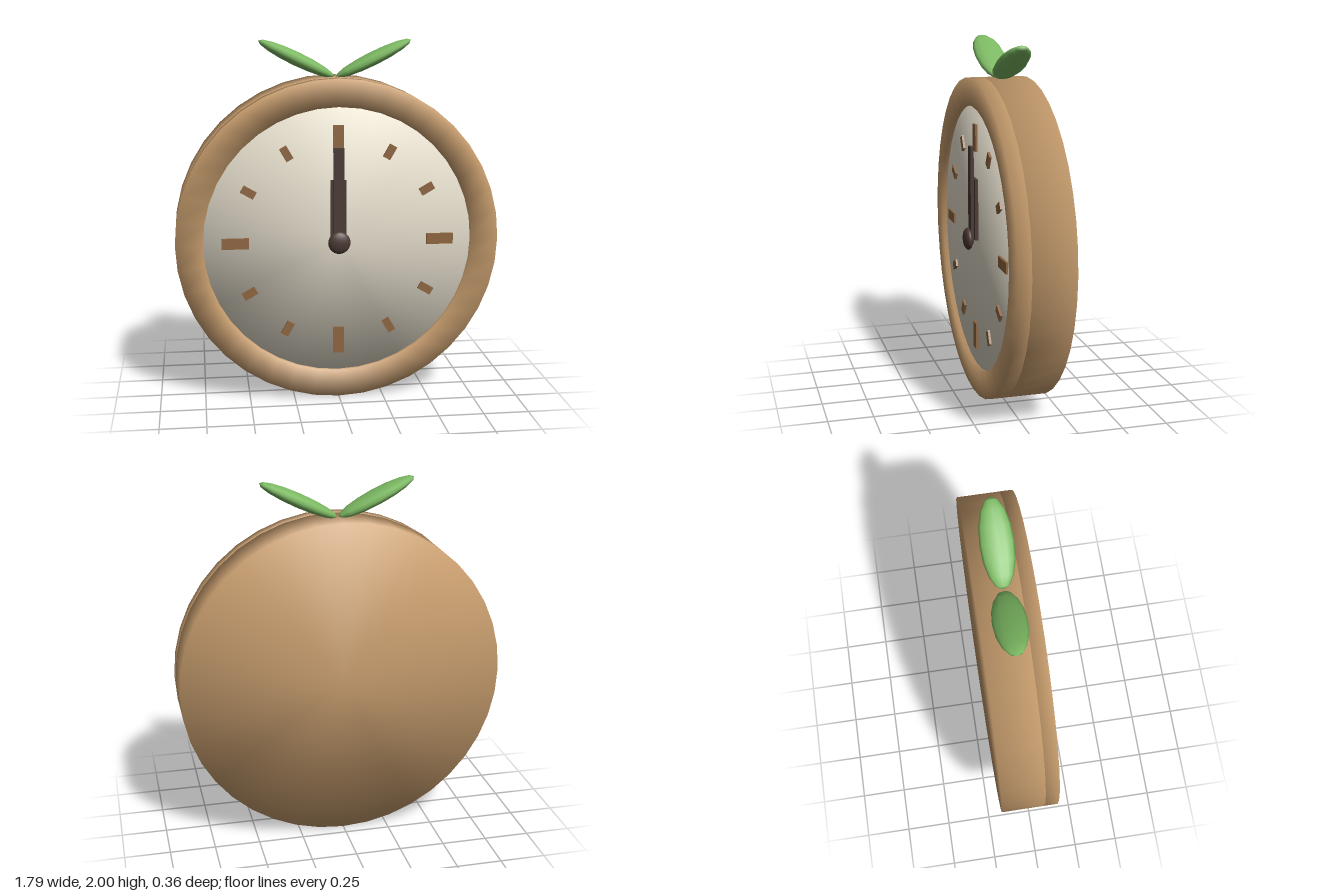
import * as THREE from 'three';

const wood = new THREE.MeshStandardMaterial({ name: 'lightWood', color: 0xc69c6d });
const dial = new THREE.MeshStandardMaterial({ name: 'creamDial', color: 0xe3dccb });
const marker = new THREE.MeshStandardMaterial({ name: 'brownMarker', color: 0x8f6641 });
const dark = new THREE.MeshStandardMaterial({ name: 'darkBrown', color: 0x4a3933 });
const leafGreen = new THREE.MeshStandardMaterial({ name: 'leafGreen', color: 0x7cb962 });

// Round part facing +z; each profile point is [radius, z, radial normal, axial normal]
function turned(profile, segments = 40) {
  const points = profile.map(([r, z]) => new THREE.Vector2(r, z));
  const geo = new THREE.LatheGeometry(points, segments);
  const normal = geo.attributes.normal;
  const v = new THREE.Vector3();
  for (let i = 0; i < normal.count; i++) {
    const [, , nr, nz] = profile[i % profile.length];
    const a = Math.floor(i / profile.length) / segments * Math.PI * 2;
    v.set(Math.sin(a) * nr, nz, Math.cos(a) * nr).normalize();
    normal.setXYZ(i, v.x, v.y, v.z);
  }
  return geo.rotateX(Math.PI / 2);
}

export function createModel() {
  const model = new THREE.Group();
  model.name = 'clock';
  const clock = new THREE.Group();
  clock.name = 'clockBody';
  clock.position.y = 0.9;
  model.add(clock);

  function add(parent, name, geo, mat, x = 0, y = 0, z = 0) {
    const mesh = new THREE.Mesh(geo, mat);
    mesh.name = name;
    mesh.position.set(x, y, z);
    parent.add(mesh);
    return mesh;
  }

  // Case, front rim and dial, with soft shading over square edges
  const R = 0.897, inner = 0.745;
  add(clock, 'case', turned([
    [0, -0.182, 0, -1], [R, -0.182, 1, -1], [R, 0.055, 1, 1], [0, 0.055, 0, 1],
  ]), wood);
  add(clock, 'rim', turned([
    [inner, 0.055, -1, -1], [R, 0.055, 1, -1], [R, 0.13, 1, 1],
    [inner, 0.13, -1, 1], [inner, 0.055, -1, -1],
  ]), wood);
  add(clock, 'dial', turned([
    [inner + 0.003, 0.06, 1, 0], [inner + 0.003, 0.105, 1, 1], [0, 0.105, 0, 1],
  ]), dial);

  // Hour markers, longer at the quarters
  for (let i = 0; i < 12; i++) {
    const a = i * Math.PI / 6;
    const quarter = i % 3 === 0;
    const geo = new THREE.BoxGeometry(quarter ? 0.06 : 0.044, quarter ? 0.15 : 0.08, 0.02);
    const m = add(clock, 'hourMarker', geo, marker, Math.sin(a) * 0.57, Math.cos(a) * 0.57, 0.108);
    m.rotation.z = -a;
  }

  // Hands and centre cap
  add(clock, 'hourHand', new THREE.BoxGeometry(0.088, 0.345, 0.018), dark, 0, 0.17, 0.115);
  add(clock, 'minuteHand', new THREE.BoxGeometry(0.06, 0.545, 0.018), dark, 0, 0.25, 0.136);
  const cap = add(clock, 'centreCap', new THREE.SphereGeometry(1, 20, 12), dark, 0, 0, 0.155);
  cap.scale.set(0.062, 0.062, 0.027);

  // Pair of leaves
  for (const side of [-1, 1]) {
    const geo = new THREE.SphereGeometry(1, 12, 8).rotateZ(Math.PI / 2);
    const leaf = add(model, side > 0 ? 'leftLeaf' : 'rightLeaf', geo, leafGreen, side * 0.212, 1.893, -0.034);
    leaf.scale.set(0.231, 0.038, 0.088);
    leaf.rotation.z = side * 0.45;
  }
  return model;
}
